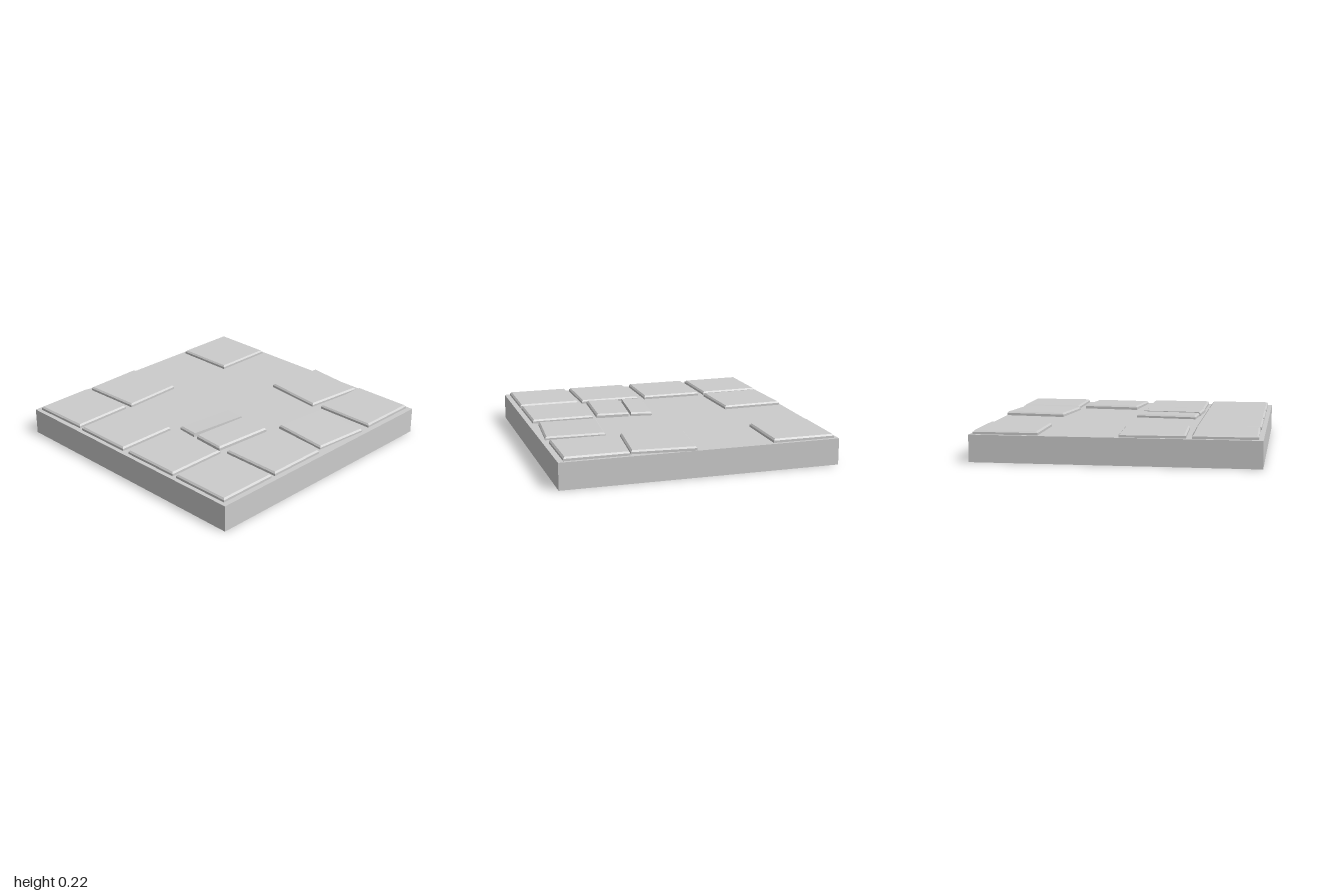
import * as THREE from 'three';

const BASE_TOP = 0.19, TILE_TOP = 0.217, SUNK = 0.02, BEVEL = 0.011;
const material = new THREE.MeshStandardMaterial({ color: 0xcccccc, flatShading: true });

// Slab with chamfered top edges; a broken edge (left or right) stays sheer.
function slabGeometry(w, d, brokenLeft, brokenRight) {
  const h = TILE_TOP - BASE_TOP + SUNK;
  const geo = new THREE.BoxGeometry(w, h, d, 1, 2, 1).toNonIndexed();
  const p = geo.attributes.position;
  for (let i = 0; i < p.count; i++) {
    const x = p.getX(i), y = p.getY(i), z = p.getZ(i);
    if (y > 0.001) {
      const broken = x < 0 ? brokenLeft : brokenRight;
      if (!broken) p.setX(i, x - Math.sign(x) * BEVEL);
      p.setZ(i, z - Math.sign(z) * BEVEL);
    } else if (y > -0.001) {
      p.setY(i, h / 2 - BEVEL);
    }
  }
  geo.computeVertexNormals();
  return geo;
}

export function createModel() {
  const model = new THREE.Group();

  // Square floor block
  const base = new THREE.Mesh(new THREE.BoxGeometry(2, BASE_TOP, 2), material);
  base.name = 'floorBlock';
  base.position.y = BASE_TOP / 2;
  model.add(base);

  // Paving slabs, some missing, turned or slightly tipped
  const slabs = [
    { x: -0.746, z: -0.749 },
    { x: 0.245, z: -0.749, turn: -0.107, tipZ: -0.008 },
    { x: 0.733, z: -0.749 },
    { x: 0.738, z: -0.249, w: 0.424, d: 0.424, turn: -0.088, tipZ: -0.016 },
    { x: -0.75, z: 0.251, w: 0.452, d: 0.452, turn: 0.036 },
    { x: 0.735, z: 0.257 },
    { x: -0.747, z: 0.743, w: 0.445, d: 0.445, turn: 0.018 },
    { x: -0.259, z: 0.743 },
    { x: 0.249, z: 0.743 },
    { x: 0.735, z: 0.743 },
    // the two halves of a cracked slab
    { name: 'crackedSlabLeft', x: 0.112, z: 0.243, w: 0.16, d: 0.45, turn: -0.107, tipZ: 0.02, brokenRight: true },
    { name: 'crackedSlabRight', x: 0.34, z: 0.262, w: 0.241, d: 0.45, turn: -0.071, lift: 0.003, brokenLeft: true },
  ];
  for (const s of slabs) {
    const { name = 'pavingSlab', w = 0.453, d = 0.453, turn = 0, tipZ = 0, lift = 0 } = s;
    const slab = new THREE.Mesh(slabGeometry(w, d, s.brokenLeft, s.brokenRight), material);
    slab.name = name;
    slab.rotation.set(0, turn, tipZ, 'YXZ');
    slab.position.set(s.x, (TILE_TOP + BASE_TOP - SUNK) / 2 + lift, s.z);
    model.add(slab);
  }
  return model;
}
